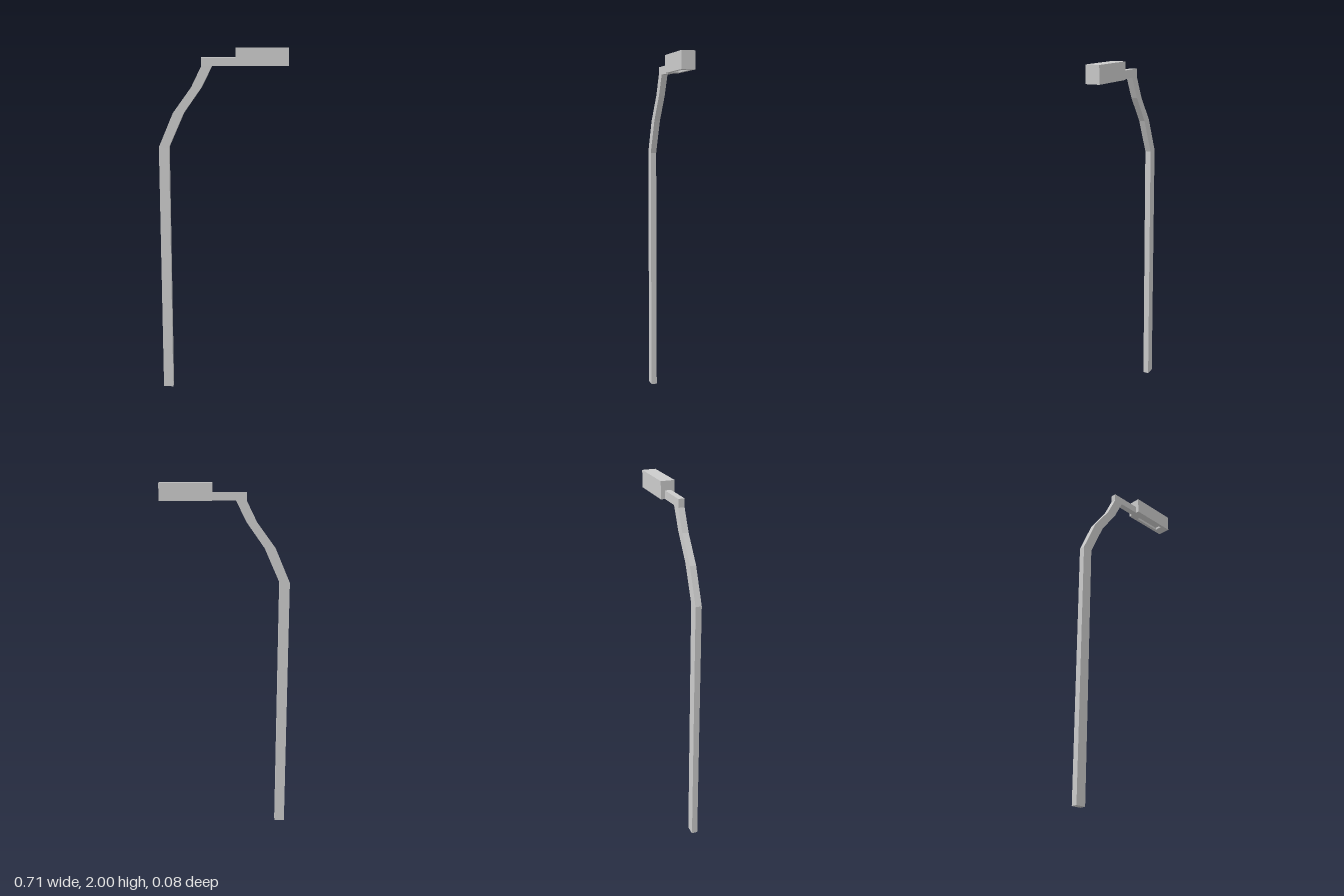
import * as THREE from 'three';

const material = new THREE.MeshStandardMaterial({ color: 0xcccccc, flatShading: true });

function addMesh(group, name, geometry) {
  const mesh = new THREE.Mesh(geometry, material);
  mesh.name = name;
  group.add(mesh);
}

const polygon = (points) => points.map(([x, y]) => new THREE.Vector2(x, y));
const rectangle = (x0, x1, y0, y1) => polygon([[x0, y0], [x1, y0], [x1, y1], [x0, y1]]);

export function createModel() {
  const group = new THREE.Group();
  group.name = 'streetLamp';

  // Flat bar: straight pole, kinked neck and horizontal arm in one outline
  const outline = new THREE.Shape(polygon([
    [-0.357, 0], [-0.3, 0], [-0.3, 1.46], [-0.215, 1.65], [-0.115, 1.79], [-0.057, 1.905],
    [0.071, 1.905], [0.071, 1.95], [-0.115, 1.95], [-0.115, 1.905],
    [-0.172, 1.79], [-0.275, 1.65], [-0.357, 1.46],
  ]));
  const pole = new THREE.ExtrudeGeometry(outline, { depth: 0.034, bevelEnabled: false });
  // The neck drifts slightly forward above the straight pole
  const pos = pole.attributes.position;
  for (let i = 0; i < pos.count; i++) {
    const t = THREE.MathUtils.clamp((pos.getY(i) - 1.46) / 0.445, 0, 1);
    pos.setZ(i, pos.getZ(i) - 0.02 + 0.003 * t);
  }
  pole.computeVertexNormals();
  addMesh(group, 'poleAndArm', pole);

  // Lamp head: solid upper block over a lower rim with a recess for the light
  const [x0, x1, z0, z1] = [0.071, 0.357, -0.04, 0.037];
  const bottom = 1.905, recessTop = 1.92, top = 2;
  const block = new THREE.BoxGeometry(x1 - x0, top - recessTop, z1 - z0);
  block.translate((x0 + x1) / 2, (top + recessTop) / 2, (z0 + z1) / 2);
  addMesh(group, 'lampHead', block);

  const rimShape = new THREE.Shape(rectangle(x0, x1, z0, z1));
  rimShape.holes.push(new THREE.Path(rectangle(0.128, 0.3, -0.022, 0.019)));
  const rim = new THREE.ExtrudeGeometry(rimShape, { depth: recessTop - bottom, bevelEnabled: false });
  rim.rotateX(Math.PI / 2).translate(0, recessTop, 0);
  addMesh(group, 'lampRim', rim);

  return group;
}
